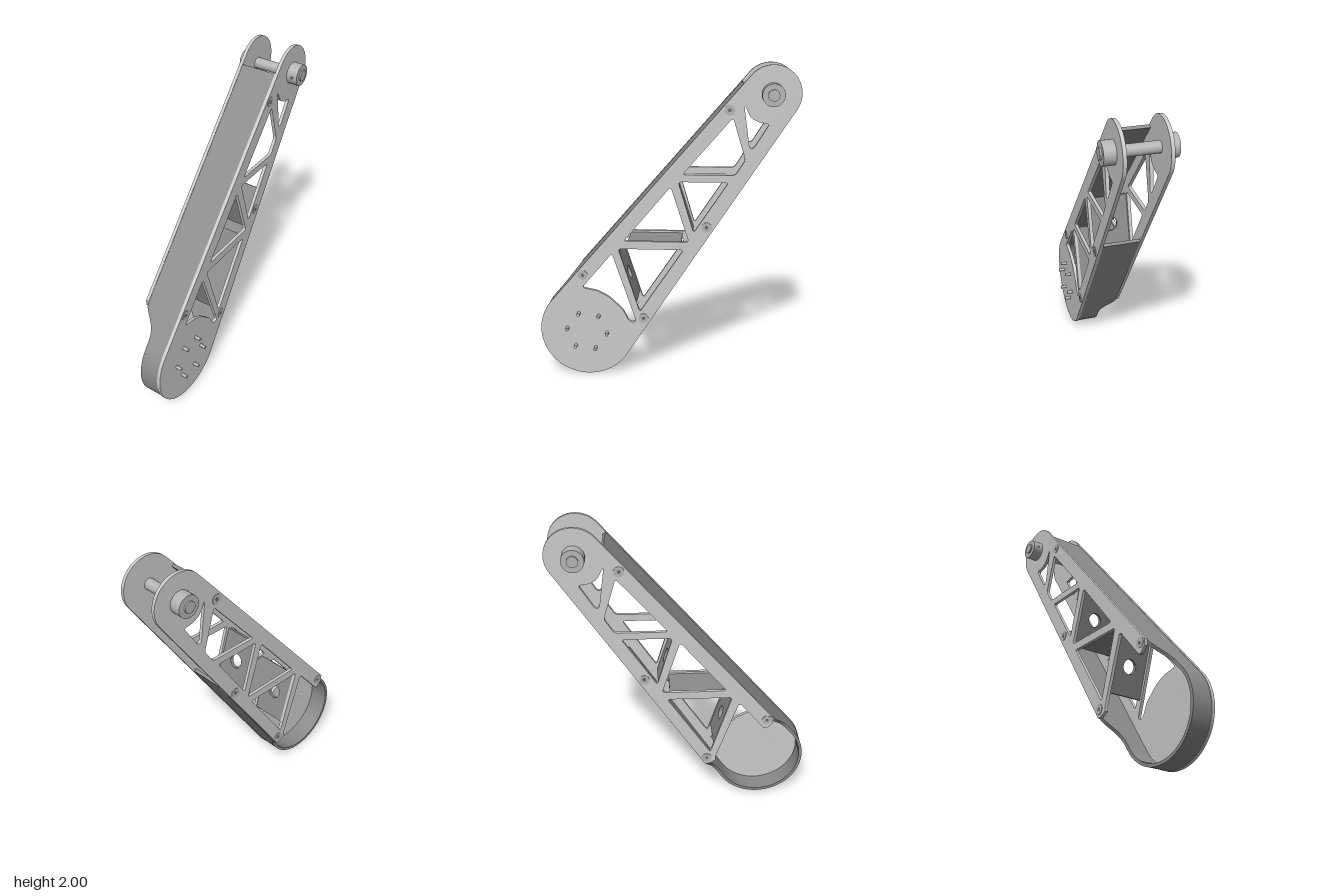
import * as THREE from 'three';
import { toCreasedNormals } from 'three/addons/utils/BufferGeometryUtils.js';

// Profile plane: a = -z, b = y. Big hub and small hub of the arm.
const HUB = { a: -0.505, b: 0.305, r: 0.303 };
const TIP = { a: 0.635, b: 1.83, r: 0.17 };
const IN = 0.115, OUT = 0.136;

const phi = Math.atan2(TIP.b - HUB.b, TIP.a - HUB.a);
const spread = Math.acos((HUB.r - TIP.r) / Math.hypot(TIP.a - HUB.a, TIP.b - HUB.b));
const FRONT = phi + spread, BACK = phi - spread;

// Point on a straight edge, s units from its tangent point on the hub
function edgePoint(angle, s, along, r = HUB.r) {
  return [HUB.a + r * Math.cos(angle) + s * Math.cos(along), HUB.b + r * Math.sin(angle) + s * Math.sin(along)];
}
const frontEdge = (s, r) => edgePoint(FRONT, s, FRONT - Math.PI / 2, r);
const backEdge = (s, r) => edgePoint(BACK, s, BACK + Math.PI / 2, r);

// Closed polygon with softened corners
function rounded(path, pts, radius = 0.022) {
  const v = pts.map(p => new THREE.Vector2(...p));
  v.forEach((p, i) => {
    const toward = q => p.clone().lerp(q, Math.min(0.45, radius / p.distanceTo(q)));
    const s = toward(v[(i + v.length - 1) % v.length]);
    const e = toward(v[(i + 1) % v.length]);
    if (i) path.lineTo(s.x, s.y); else path.moveTo(s.x, s.y);
    path.quadraticCurveTo(p.x, p.y, e.x, e.y);
  });
  path.closePath();
  return path;
}

const trussHoles = [
  [[0.468, 1.767], [0.511, 1.688], [0.563, 1.661], [0.622, 1.656], [0.532, 1.508], [0.507, 1.508]],
  [[0.405, 1.69], [0.484, 1.434], [0.426, 1.341], [0.105, 1.341]],
  [[0.08, 1.296], [0.387, 1.296], [0.177, 0.974]],
  [[0.034, 1.265], [0.148, 0.913], [-0.26, 0.913]],
  [[-0.296, 0.862], [0.116, 0.862], [-0.163, 0.44]],
];
const hubHole = [[-0.336, 0.83], [-0.185, 0.37], [-0.23, 0.37], [-0.272, 0.455], [-0.362, 0.54],
  [-0.431, 0.577], [-0.532, 0.598]];

function plateGeometry(shape, holes, x0) {
  shape.holes = holes.map(h => rounded(new THREE.Path(), h));
  const g = new THREE.ExtrudeGeometry(shape, { depth: OUT - IN, bevelEnabled: false, curveSegments: 40 });
  g.rotateY(Math.PI / 2).translate(x0, 0, 0);
  return toCreasedNormals(g, 0.5);
}

// Curved wall that wraps the hub, low at the hub and full width along the arm
function wallGeometry() {
  const t = 0.02, r = HUB.r - 0.003, path = [];
  const line = (fn, angle, end) => {
    const list = [];
    for (let i = 0; i <= 20; i++) list.push([...fn(0.26 * i / 20, r), angle]);
    list.push([...fn(end, r), angle]);
    return list;
  };
  path.push(...line(frontEdge, FRONT, 1.828).reverse());
  const sweep = BACK + Math.PI * 2 - FRONT;
  for (let i = 1; i < 48; i++) {
    const k = FRONT + sweep * i / 48;
    path.push([HUB.a + r * Math.cos(k), HUB.b + r * Math.sin(k), k]);
  }
  path.push(...line(backEdge, BACK, 1.14));

  const rings = path.map(([a, b, k]) => {
    const d = Math.hypot(a - HUB.a, b - HUB.b);
    const left = -0.015 - 0.1 * THREE.MathUtils.smoothstep(d, 0.297, 0.385);
    const ia = a - t * Math.cos(k), ib = b - t * Math.sin(k);
    return [[IN, b, -a], [left, b, -a], [left, ib, -ia], [IN, ib, -ia]];
  });
  const pos = [];
  const quad = (p, q, m, n) => pos.push(...p, ...q, ...m, ...p, ...m, ...n);
  for (let i = 0; i + 1 < rings.length; i++) {
    for (let k = 0; k < 4; k++) {
      const n = (k + 1) % 4;
      quad(rings[i][k], rings[i][n], rings[i + 1][n], rings[i + 1][k]);
    }
  }
  const [s, e] = [rings[0], rings[rings.length - 1]];
  quad(s[0], s[3], s[2], s[1]);
  quad(e[0], e[1], e[2], e[3]);
  const g = new THREE.BufferGeometry();
  g.setAttribute('position', new THREE.Float32BufferAttribute(pos, 3));
  return toCreasedNormals(g, 0.6);
}

// Cross panel between the plates, with an optional cable hole
function webGeometry([a0, b0], [a1, b1], holeRadius) {
  const len = Math.hypot(a1 - a0, b1 - b0), t = 0.024;
  const s = new THREE.Shape();
  s.moveTo(-len / 2, -IN).lineTo(len / 2, -IN).lineTo(len / 2, IN).lineTo(-len / 2, IN).closePath();
  if (holeRadius) s.holes.push(new THREE.Path().absarc(0, 0, holeRadius, 0, Math.PI * 2, true));
  const g = new THREE.ExtrudeGeometry(s, { depth: t, bevelEnabled: false, curveSegments: 20 });
  g.translate(0, 0, -t / 2);
  const e1 = new THREE.Vector3(0, b1 - b0, a0 - a1).normalize();
  const e2 = new THREE.Vector3(1, 0, 0);
  const m = new THREE.Matrix4().makeBasis(e1, e2, e1.clone().cross(e2));
  m.setPosition(0, (b0 + b1) / 2, -(a0 + a1) / 2);
  return g.applyMatrix4(m);
}

export function createModel() {
  const model = new THREE.Group();
  model.name = 'armLink';
  const mat = (name, color) => {
    const m = new THREE.MeshStandardMaterial({ color });
    m.name = name;
    return m;
  };
  const plate = mat('light grey plate', 0xcacaca);
  const shell = mat('mid grey shell', 0x8a8a8a);
  const metal = mat('hardware grey', 0xb4b4b4);
  const dark = mat('dark recess', 0x6a6a6a);
  const add = (name, geometry, material) => {
    const mesh = new THREE.Mesh(geometry, material);
    mesh.name = name;
    model.add(mesh);
    return mesh;
  };
  // Cylinder along x between two x values
  const rod = (name, x0, x1, r, a, b, material, sides = 32) => {
    const g = new THREE.CylinderGeometry(r, r, Math.abs(x1 - x0), sides);
    g.rotateZ(Math.PI / 2).translate((x0 + x1) / 2, b, -a);
    return add(name, g, material);
  };

  // Left plate covers the whole arm, hub included
  const full = new THREE.Shape();
  full.absarc(HUB.a, HUB.b, HUB.r, FRONT, BACK + Math.PI * 2, false);
  full.absarc(TIP.a, TIP.b, TIP.r, BACK, FRONT, false);
  full.closePath();
  add('leftPlate', plateGeometry(full, [...trussHoles, hubHole], IN), plate);

  // Right plate stops short of the hub in two prongs
  const open = new THREE.Shape();
  open.moveTo(...backEdge(0.255));
  open.absarc(TIP.a, TIP.b, TIP.r, BACK, FRONT, false);
  open.lineTo(...frontEdge(0.255));
  for (const p of [[-0.565, 0.655], [-0.53, 0.617], [-0.51, 0.62], [-0.355, 0.805], [-0.338, 0.805],
    [-0.197, 0.4], [-0.2, 0.372], [-0.16, 0.35], [-0.13, 0.345]]) open.lineTo(...p);
  open.closePath();
  add('rightPlate', plateGeometry(open, trussHoles, -OUT), plate);

  add('wrapWall', wallGeometry(), shell);

  // Inner cross panels
  add('upperDiagonalWeb', webGeometry([0.055, 1.27], [0.161, 0.94], 0.045), shell);
  add('lowerDiagonalWeb', webGeometry([-0.304, 0.83], [-0.195, 0.49], 0.045), shell);
  add('middleWeb', webGeometry([-0.24, 0.888], [0.1, 0.888], 0), shell);

  // Pivot pin with a collar and set screw on each side
  rod('pivotPin', -0.215, 0.215, 0.034, TIP.a, TIP.b, metal);
  for (const s of [-1, 1]) {
    rod('pivotCollar', s * OUT, s * 0.205, 0.067, TIP.a, TIP.b, metal);
    const screw = new THREE.CylinderGeometry(0.011, 0.011, 0.004, 16);
    screw.rotateX(Math.PI / 2).translate(s * 0.17, TIP.b, -TIP.a + 0.066);
    add('collarSetScrew', screw, dark);
  }

  // Plate screws on both sides
  for (const [a, b] of [[0.384, 1.735], [0.257, 1.011], [-0.14, 0.397], [-0.526, 0.683]]) {
    for (const s of [-1, 1]) {
      rod('plateScrew', s * 0.13, s * 0.139, 0.032, a, b, metal, 24);
      rod('screwSocket', s * 0.135, s * 0.14, 0.012, a, b, dark, 6);
    }
  }

  // Ring of six studs on the hub
  for (let i = 0; i < 6; i++) {
    const k = -0.11 + i * Math.PI / 3;
    rod('hubStud', IN, 0.175, 0.011, HUB.a + 0.13 * Math.cos(k), HUB.b + 0.13 * Math.sin(k), metal, 16);
  }
  return model;
}
